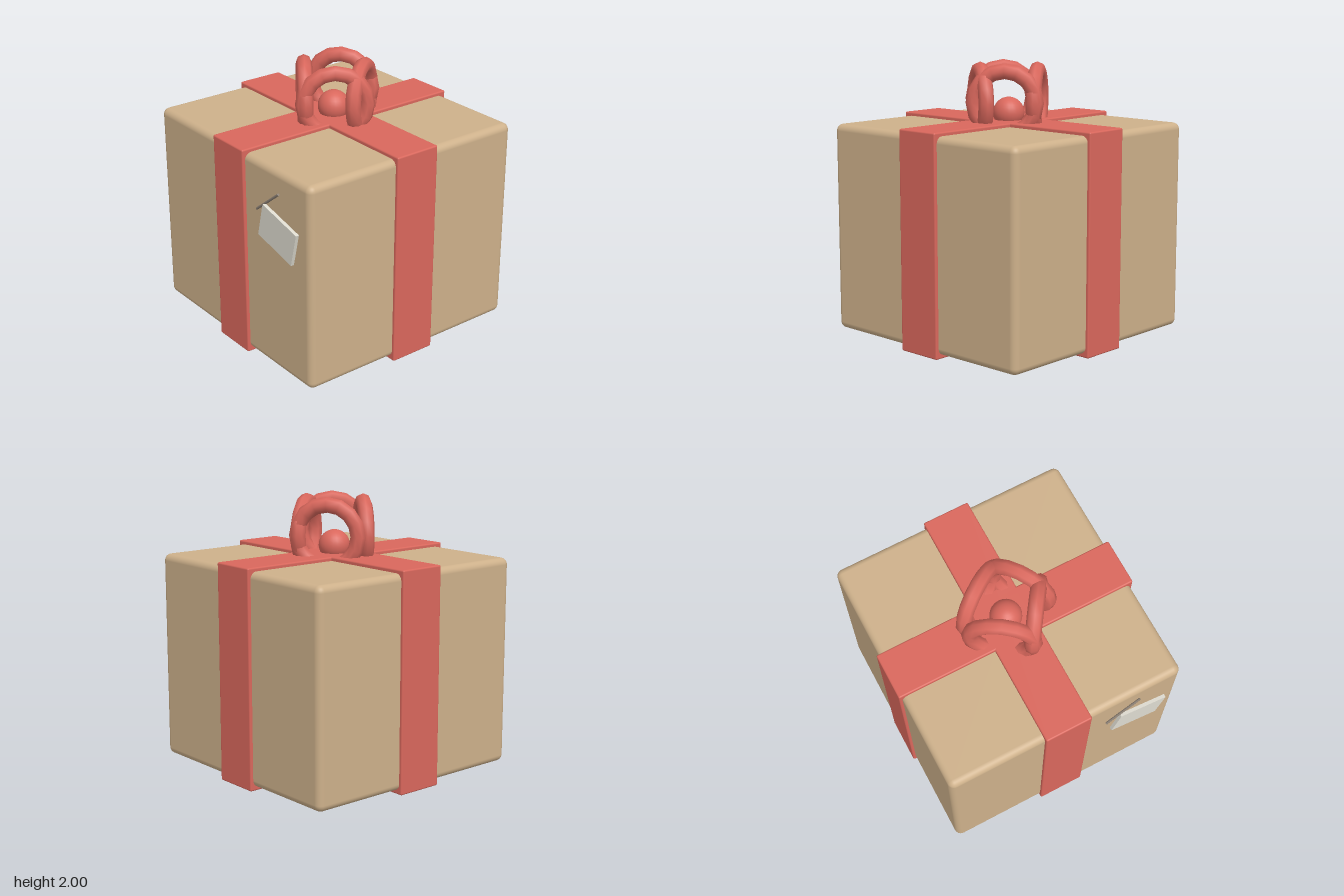
import * as THREE from 'three';
import { RoundedBoxGeometry } from 'three/addons/geometries/RoundedBoxGeometry.js';

const mat = (color) => new THREE.MeshStandardMaterial({ color });

export function createModel() {
  const model = new THREE.Group();
  model.name = 'giftBox';
  const card = mat(0xcdb08a), red = mat(0xd9675c), paper = mat(0xdedbd0), twine = mat(0x8c8074);

  const add = (name, geometry, material, x, y, z) => {
    const mesh = new THREE.Mesh(geometry, material);
    mesh.name = name;
    mesh.position.set(x, y, z);
    model.add(mesh);
    return mesh;
  };

  const zc = -0.01; // the tag on the front shifts the box slightly back

  // Box and the two ribbon bands wrapped around it
  add('box', new RoundedBoxGeometry(1.785, 1.52, 1.785, 4, 0.05), card, 0, 0.793, zc);
  add('ribbonFrontToBack', new RoundedBoxGeometry(0.352, 1.575, 1.83, 2, 0.012), red, 0, 0.7925, zc);
  add('ribbonSideToSide', new RoundedBoxGeometry(1.83, 1.575, 0.352, 2, 0.012), red, 0, 0.7925, zc);

  // Bow: four upright loops around a round knot, mirrored front to back
  const loop = new THREE.TorusGeometry(0.225, 0.056, 8, 16);
  const turn = THREE.MathUtils.degToRad(35);
  for (const side of [1, -1]) {
    const tag = side > 0 ? 'Front' : 'Back';
    add('bowLoopLeft' + tag, loop, red, 0.17, 1.72, zc + side * 0.12)
      .rotation.y = side * (Math.PI / 2 - turn);
    add('bowLoopRight' + tag, loop, red, -0.12, 1.72, zc + side * 0.17)
      .rotation.y = -side * turn;
  }
  add('bowKnot', new THREE.SphereGeometry(0.114, 24, 16), red, 0, 1.63, zc);

  // Gift tag and its string
  add('tag', new THREE.BoxGeometry(0.38, 0.25, 0.025), paper, 0.574, 1.112, 0.906)
    .rotation.z = THREE.MathUtils.degToRad(-13.7);
  add('tagString', new THREE.CylinderGeometry(0.009, 0.009, 0.318, 8), twine, 0.443, 1.3, 0.894)
    .rotation.z = THREE.MathUtils.degToRad(38 - 90);

  return model;
}
